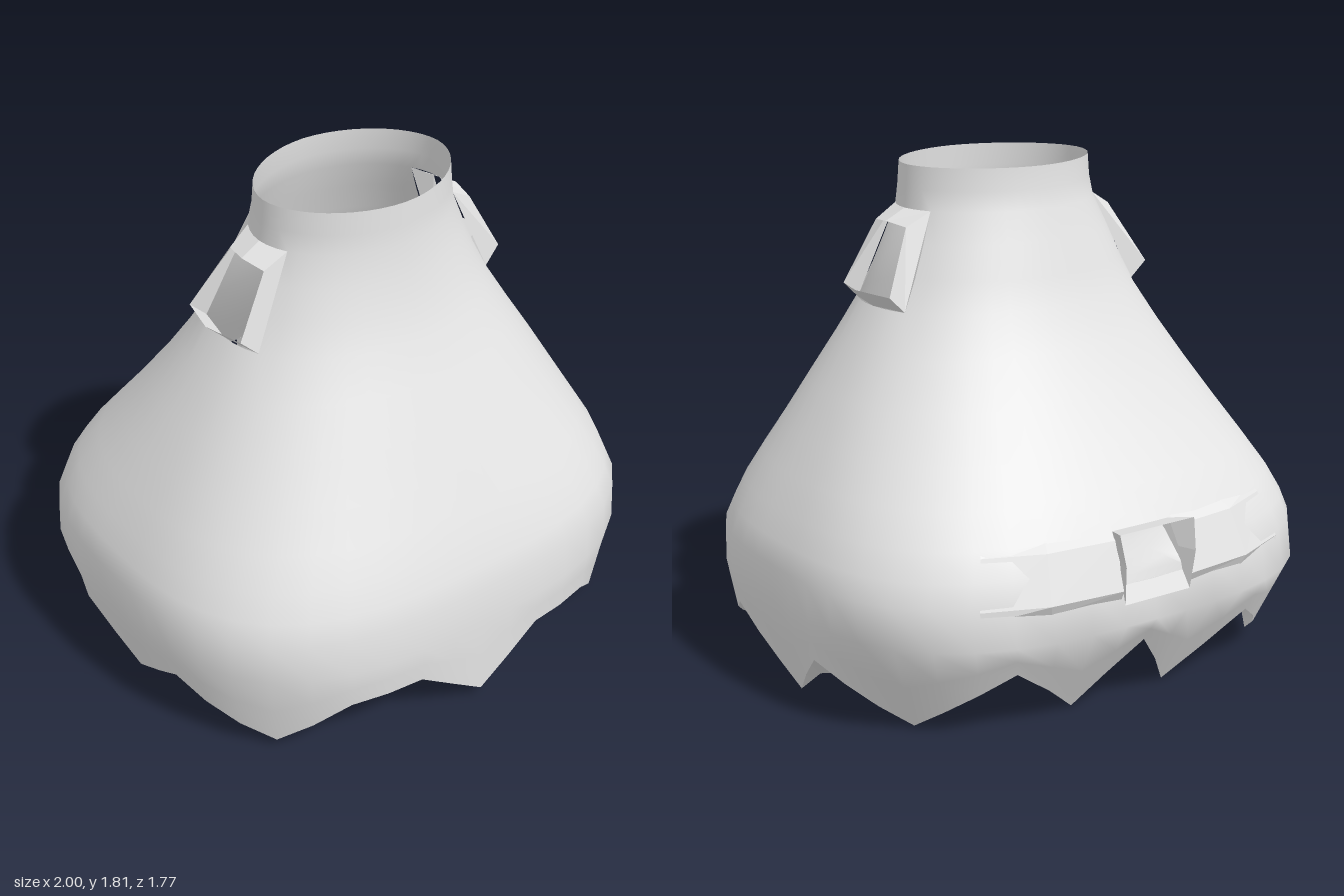
import * as THREE from 'three';

const SEG = 48;
// Cross-sections from neck to hem crease: y, half width, front z, back z, squareness
const ROWS = [
  [1.82, 0.37, 0.39, -0.19, 1.85], [1.74, 0.375, 0.395, -0.195, 1.87], [1.67, 0.385, 0.4, -0.21, 1.9],
  [1.56, 0.43, 0.42, -0.25, 2], [1.45, 0.475, 0.45, -0.285, 2.1], [1.34, 0.53, 0.49, -0.325, 2.15],
  [1.2, 0.615, 0.555, -0.4, 2.25], [1.05, 0.71, 0.63, -0.495, 2.35], [0.9, 0.8, 0.7, -0.6, 2.5],
  [0.78, 0.87, 0.76, -0.69, 2.65], [0.67, 0.93, 0.81, -0.77, 2.8], [0.58, 0.97, 0.845, -0.82, 2.85],
  [0.5, 1.0, 0.87, -0.84, 2.9], [0.36, 1.0, 0.885, -0.87, 2.9],
];
// Pointed hem on one half: angle in degrees (90 = front), y, inward scale
const HEM = [
  [-90, 0.26, 0.92], [-75, 0.01, 0.76], [-60, 0.24, 0.93], [-37.5, 0.02, 0.85], [-15, 0.22, 0.98],
  [0, 0.01, 0.9], [22.5, 0.24, 0.98], [45, 0.04, 0.94], [60, 0.21, 0.985], [75, 0.22, 0.99], [90, 0.05, 1],
];

// Piecewise-linear lookup in a table sorted by its first column
function lookup(table, v) {
  let i = 1;
  while (i < table.length - 1 && table[i][0] < v) i++;
  const a = table[i - 1], b = table[i];
  const t = THREE.MathUtils.clamp((v - a[0]) / (b[0] - a[0]), 0, 1);
  return a.map((p, k) => p + (b[k] - p) * t);
}
const ASCENDING = [...ROWS].reverse();

// Point on the cloth at an angle (0 = +x, 90 = front) and a height
function cloth(deg, y, scale = 1) {
  const [, rx, zf, zb, n] = lookup(ASCENDING, y);
  const a = THREE.MathUtils.degToRad(deg), c = Math.cos(a), s = Math.sin(a);
  const r = scale * Math.pow(Math.abs(c) ** n + Math.abs(s) ** n, -1 / n);
  return new THREE.Vector3(rx * r * c, y, (zf + zb) / 2 + ((zf - zb) / 2) * r * s);
}

function hem(deg) {
  const fold = THREE.MathUtils.radToDeg(Math.asin(Math.sin(THREE.MathUtils.degToRad(deg))));
  const [, y, scale] = lookup(HEM, fold);
  const p = cloth(deg, 0.36, scale);
  p.y = y;
  return p;
}

// Point on the rounded underside, which rises faster towards the back
function under(deg, scale) {
  const p = cloth(deg, 0.36, scale);
  const dz = p.z - 0.05;
  p.y = 0.01 + 0.14 * p.x * p.x + (dz < 0 ? 0.36 : 0.13) * dz * dz;
  return p;
}

// Skin a list of equally long point rows
function loft(rows, { closed = true, flat = false, skip = () => false } = {}) {
  const n = rows[0].length, index = [];
  for (let j = 0; j < rows.length - 1; j++) {
    for (let i = 0; i < (closed ? n : n - 1); i++) {
      if (skip(i, j)) continue;
      const a = j * n + i, b = j * n + ((i + 1) % n);
      index.push(a, b, a + n, b, b + n, a + n);
    }
  }
  let geo = new THREE.BufferGeometry().setFromPoints(rows.flat());
  geo.setIndex(index);
  if (flat) geo = geo.toNonIndexed();
  geo.computeVertexNormals();
  return geo;
}

export function createModel() {
  const group = new THREE.Group();
  const grey = new THREE.MeshStandardMaterial({ color: 0xe4e4e4, side: THREE.DoubleSide });
  grey.name = 'light grey cloth';
  const add = (name, geo) => {
    const mesh = new THREE.Mesh(geo, grey);
    mesh.name = name;
    group.add(mesh);
  };
  const V = (x, y, z) => new THREE.Vector3(x, y, z);
  const angles = Array.from({ length: SEG }, (_, i) => (i * 360) / SEG);
  const hemRow = angles.map(hem);

  // Cloak with an open neck, two arm holes, a back opening and a pointed hem
  const rows = ROWS.map(([y]) => angles.map((a) => cloth(a, y)));
  const crease = rows[rows.length - 1];
  rows.push(crease.map((p, i) => p.clone().lerp(hemRow[i], 0.5)), hemRow);
  const opening = (i, j) => {
    const arm = (i + 3) % 24 < 6 && j >= 2 && j < 5;
    const back = (i === 35 || i === 36) && j >= 10 && j < 12;
    return arm || back;
  };
  add('cloak', loft(rows, { skip: opening }));

  // Rounded underside, joined to the hem
  const bowl = [0.84, 0.65, 0.45, 0.22, 0.001].map((s) => angles.map((a) => under(a, s)));
  add('underside', loft([hemRow, ...bowl]));

  // Flared collar around each arm hole
  for (const side of [1, -1]) {
    const inner = [[22.5, 1.67], [0, 1.67], [-22.5, 1.67], [-22.5, 1.34], [0, 1.34], [22.5, 1.34]]
      .map(([a, y]) => cloth(a, y));
    const outer = [V(0.44, 1.62, 0.2), V(0.46, 1.63, 0.1), V(0.44, 1.62, 0),
      V(0.56, 1.4, -0.08), V(0.6, 1.405, 0.08), V(0.56, 1.4, 0.23)];
    const ring = [inner, outer].map((r) => r.map((p) => V(p.x * side, p.y, p.z)));
    if (side < 0) ring.forEach((r) => r.reverse());
    add(side > 0 ? 'leftArmCollar' : 'rightArmCollar', loft(ring, { flat: true }));
  }

  // Faceted band wrapped across the back, on both sides of the opening
  for (const side of [1, -1]) {
    const steps = [[54, 0.005], [67, 0.03], [82, 0.035]].map(([d, lift]) => [-90 + side * (90 - d), lift]);
    if (side < 0) steps.reverse();
    const band = [[0.68, 0], [0.65, 1], [0.49, 1], [0.45, 0]]
      .map(([y, k]) => steps.map(([a, lift]) => cloth(a, y, 0.995 + k * lift)));
    add(side > 0 ? 'leftBand' : 'rightBand', loft(band, { closed: false, flat: true }));
  }

  // Flared collar around the back opening
  const backInner = [[-82.5, 0.67], [-97.5, 0.67], [-97.5, 0.58], [-97.5, 0.5], [-82.5, 0.5], [-82.5, 0.58]]
    .map(([a, y]) => cloth(a, y));
  const backOuter = [V(0.16, 0.69, -0.86), V(-0.16, 0.69, -0.86), V(-0.15, 0.58, -0.885),
    V(-0.14, 0.44, -0.87), V(0.14, 0.44, -0.87), V(0.15, 0.58, -0.885)];
  add('backCollar', loft([backInner, backOuter], { flat: true }));

  return group;
}
